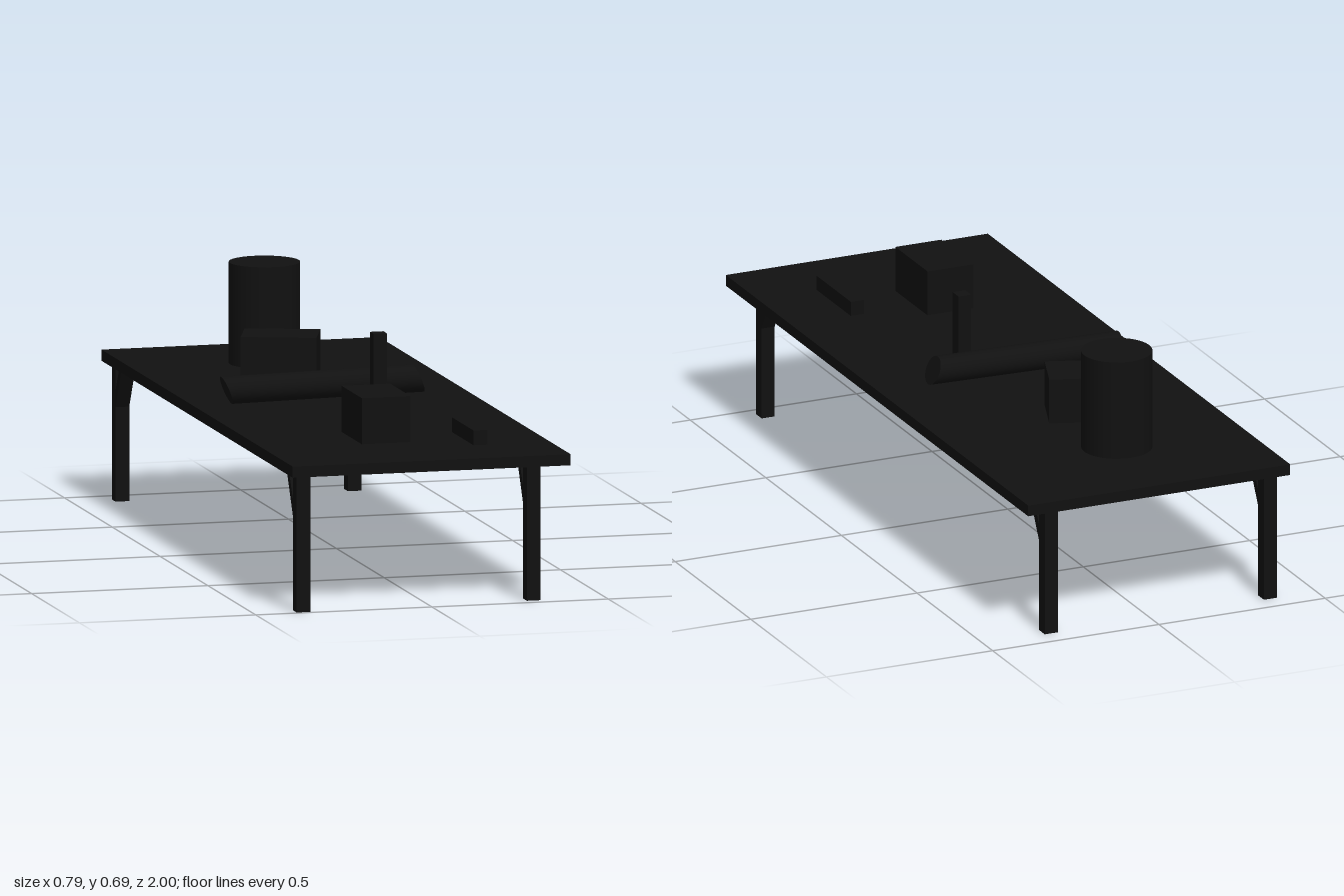
import * as THREE from 'three';

const TOP = 0.407;    // upper face of the tabletop
const UNDER = 0.376;  // lower face of the tabletop
const LEG = 0.039;    // leg width

export function createModel() {
  const group = new THREE.Group();
  const material = new THREE.MeshStandardMaterial({ color: 0x111111 });

  const add = (name, geometry, x = 0, y = 0, z = 0, parent = group) => {
    const mesh = new THREE.Mesh(geometry, material);
    mesh.name = name;
    mesh.position.set(x, y, z);
    parent.add(mesh);
    return mesh;
  };
  // Box resting on the tabletop
  const block = (name, w, h, d, x, z) =>
    add(name, new THREE.BoxGeometry(w, h, d), x, TOP + h / 2, z);

  // Tabletop
  add('tabletop', new THREE.BoxGeometry(0.788, TOP - UNDER, 2), -0.001, (TOP + UNDER) / 2, 0);

  // Legs, each with a slanted brace reaching inwards along the table
  const braceShape = new THREE.Shape([
    [LEG / 2 - 0.004, 0.255], [0.082, UNDER], [0.058, UNDER], [LEG / 2 - 0.004, 0.302],
  ].map(([d, y]) => new THREE.Vector2(d, y)));
  const legs = [
    ['frontLeftLeg', 0.297, 0.95], ['frontRightLeg', -0.362, 0.971],
    ['backLeftLeg', 0.297, -0.922], ['backRightLeg', -0.362, -0.922],
  ];
  for (const [name, x, z] of legs) {
    const leg = new THREE.Group();
    leg.name = name;
    leg.position.set(x, 0, z);
    add('post', new THREE.BoxGeometry(LEG, UNDER, LEG), 0, UNDER / 2, 0, leg);
    const brace = new THREE.ExtrudeGeometry(braceShape, { depth: LEG, bevelEnabled: false });
    brace.translate(0, 0, -LEG / 2).rotateY(Math.sign(z) * Math.PI / 2);
    add('brace', brace, 0, 0, 0, leg);
    group.add(leg);
  }

  // Upright drum at the back
  add('drum', new THREE.CylinderGeometry(0.098, 0.098, 0.281, 32), -0.021, TOP + 0.1405, -0.675);

  // Lying roll with slanted ends
  const roll = new THREE.CylinderGeometry(1, 1, 1, 32);
  roll.applyMatrix4(new THREE.Matrix4().makeBasis(
    new THREE.Vector3(0.015, -0.038, 0),
    new THREE.Vector3(0.544, 0.01, 0),
    new THREE.Vector3(0, 0, 0.04),
  ));
  add('roll', roll, -0.029, 0.451, -0.04);

  // Boxes and bars on the table
  block('turnedBox', 0.208, 0.128, 0.145, -0.05, -0.4).rotation.y = -0.34;
  block('frontBox', 0.138, 0.128, 0.213, -0.047, 0.588);
  block('uprightBar', 0.038, 0.204, 0.038, 0.093, 0.098);
  block('lyingBar', 0.04, 0.041, 0.226, 0.195, 0.677);

  return group;
}
